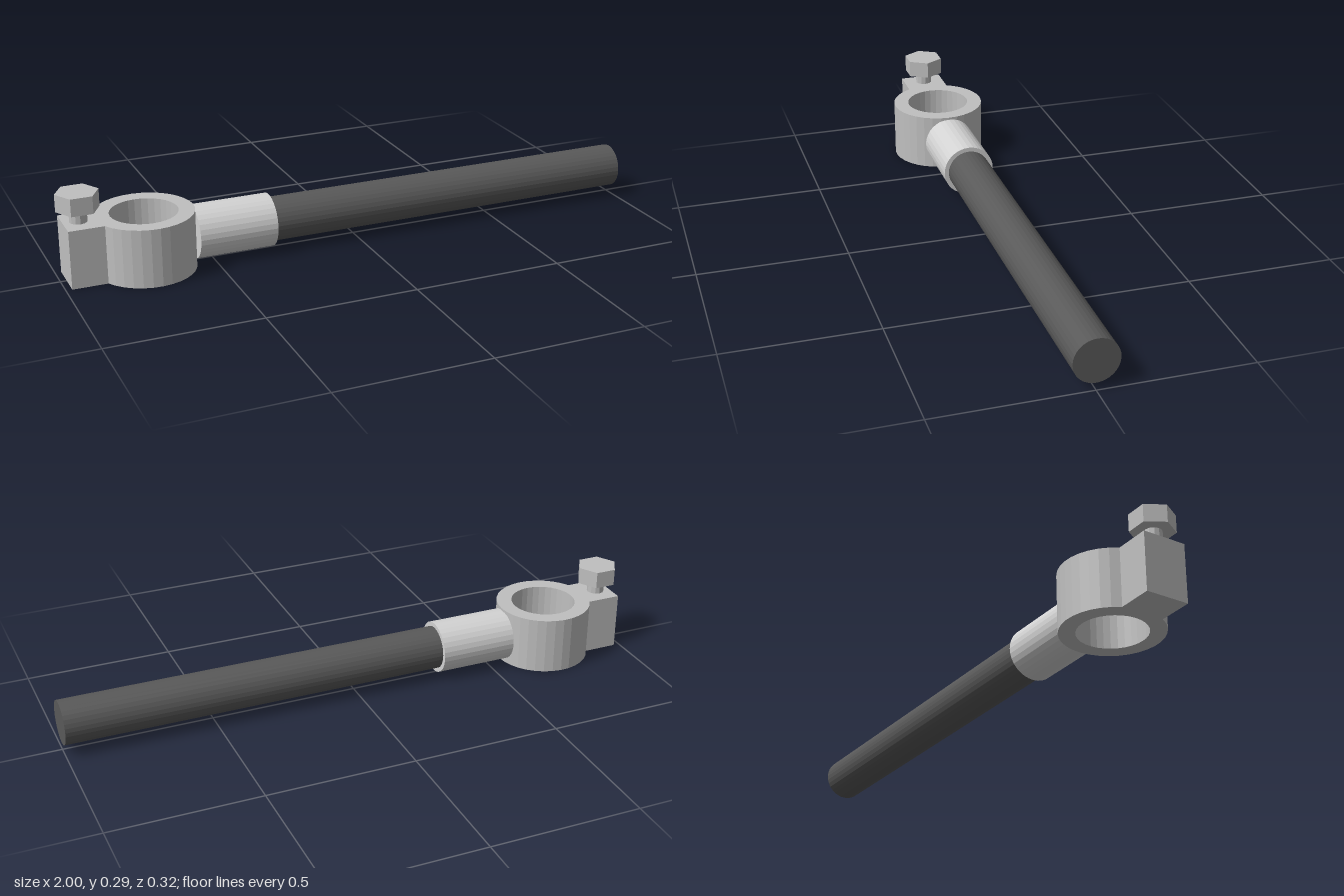
import * as THREE from 'three';

const SEGMENTS = 32;
const CLAMP_X = -0.72, BOLT_X = -0.93, AXIS_Y = 0.098, CLAMP_HEIGHT = 0.194;

function material(name, color) {
  const m = new THREE.MeshStandardMaterial({ color, flatShading: true });
  m.name = name;
  return m;
}

function addMesh(parent, name, geometry, mat) {
  const mesh = new THREE.Mesh(geometry, mat);
  mesh.name = name;
  parent.add(mesh);
  return mesh;
}

// Cylinder lying along x between two ends
function barGeometry(x0, x1, radius) {
  return new THREE.CylinderGeometry(radius, radius, x1 - x0, SEGMENTS)
    .rotateZ(-Math.PI / 2)
    .translate((x0 + x1) / 2, AXIS_Y, 0);
}

// Ring with a square lug on its -x side, bored through vertically
function clampGeometry() {
  const outer = 0.162, inner = 0.11, lugHalf = 0.073, lugEnd = -0.26;
  const join = Math.PI - Math.asin(lugHalf / outer);
  const points = [new THREE.Vector2(lugEnd, -lugHalf)];
  const steps = 28;
  for (let i = 0; i <= steps; i++) {
    const a = -join + (2 * join * i) / steps;
    points.push(new THREE.Vector2(outer * Math.cos(a), outer * Math.sin(a)));
  }
  points.push(new THREE.Vector2(lugEnd, lugHalf));
  const shape = new THREE.Shape(points);
  shape.holes.push(new THREE.Path().absarc(0, 0, inner, 0, Math.PI * 2, true));
  return new THREE.ExtrudeGeometry(shape, {
    depth: CLAMP_HEIGHT, bevelEnabled: false, curveSegments: SEGMENTS / 2,
  }).rotateX(-Math.PI / 2).translate(CLAMP_X, 0, 0);
}

export function createModel() {
  const model = new THREE.Group();
  model.name = 'clampArm';
  const steel = material('steel grey', 0xc0c0c0);
  const pale = material('pale steel', 0xd3d3d3);
  const dark = material('dark grey', 0x595959);

  addMesh(model, 'clampRing', clampGeometry(), steel);

  // Hexagonal clamping bolt on the lug
  const bolt = new THREE.Group();
  bolt.name = 'clampBolt';
  bolt.position.x = BOLT_X;
  model.add(bolt);
  addMesh(bolt, 'boltShank',
    new THREE.CylinderGeometry(0.029, 0.029, 0.08, 12).translate(0, 0.2, 0), steel);
  addMesh(bolt, 'boltHead',
    new THREE.CylinderGeometry(0.07, 0.07, 0.058, 6).rotateY(Math.PI / 6).translate(0, 0.264, 0), steel);

  // Sleeve butted against the ring, with the rod running out of it
  addMesh(model, 'sleeve', barGeometry(-0.562, -0.3, 0.088), pale);
  addMesh(model, 'rod', barGeometry(-0.5, 1, 0.073), dark);
  return model;
}
